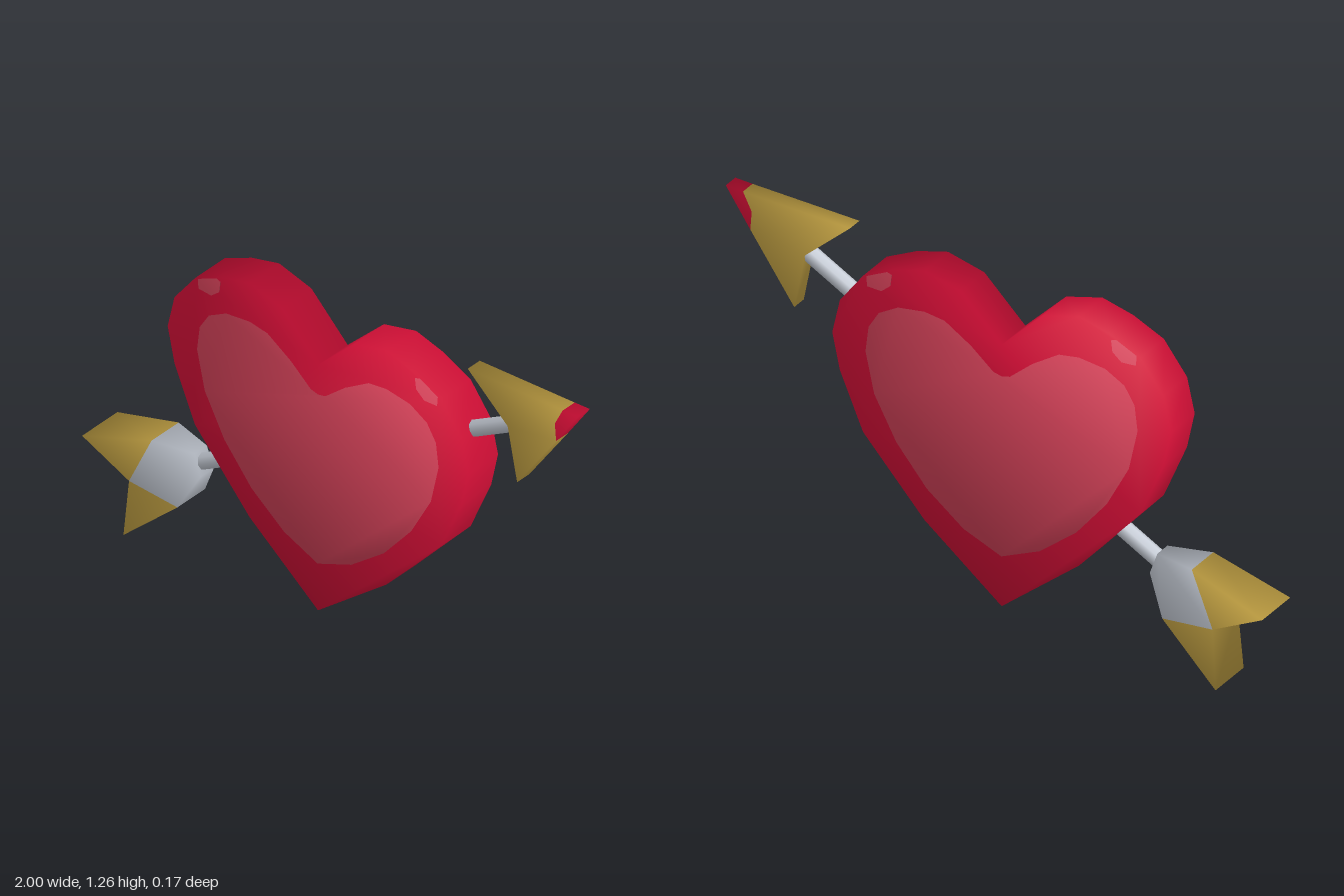
import * as THREE from 'three';

const mat = (name, color) => Object.assign(new THREE.MeshStandardMaterial({ color }), { name });

// Flat outline extruded between two depths, with soft pillow-like normals around a centre.
// halfDepth(x, y) gives the half thickness; z shifts the whole plate.
function plate(name, material, pts, halfDepth, centre, softness, z = 0) {
  const shape = new THREE.Shape(pts.map(([x, y]) => new THREE.Vector2(x, y)));
  const geo = new THREE.ExtrudeGeometry(shape, { depth: 2, bevelEnabled: false });
  const pos = geo.attributes.position, nor = geo.attributes.normal;
  const n = new THREE.Vector3();
  for (let i = 0; i < pos.count; i++) {
    const x = pos.getX(i), y = pos.getY(i);
    const side = pos.getZ(i) > 1 ? 1 : -1;
    pos.setZ(i, z + side * halfDepth(x, y));
    n.set((x - centre[0]) * softness, (y - centre[1]) * softness, z ? Math.sign(z) : side).normalize();
    nor.setXYZ(i, n.x, n.y, n.z);
  }
  const mesh = new THREE.Mesh(geo, material);
  mesh.name = name;
  return mesh;
}

export function createModel() {
  const red = mat('heart red', 0xe0103a);
  const pink = mat('soft pink', 0xe0465e);
  const gold = mat('gold', 0xd4b04a);
  const silver = mat('silver', 0xc8ced8);
  const model = new THREE.Group();
  model.name = 'heartWithArrow';

  // Heart: right half mirrored about its centre line
  const cx = -0.037, half = 0.0715, mid = [cx, 0.72];
  const mirror = (h) => [
    ...h.map(([x, y]) => [cx + x, y]),
    ...h.slice(1, -1).reverse().map(([x, y]) => [cx - x, y]),
  ];
  const outline = mirror([
    [0, 1.007], [0.15, 1.155], [0.283, 1.19], [0.396, 1.16], [0.508, 1.107], [0.593, 0.995],
    [0.621, 0.872], [0.593, 0.743], [0.508, 0.545], [0.283, 0.294], [0, 0.066],
  ]);
  const inner = mirror([
    [0, 0.893], [0.03, 0.9], [0.112, 0.97], [0.209, 1.032], [0.283, 1.043], [0.38, 1.03], [0.45, 0.99],
    [0.487, 0.93], [0.498, 0.84], [0.466, 0.695], [0.385, 0.545], [0.273, 0.41], [0.139, 0.305], [0, 0.246],
  ]);
  model.add(plate('heart', red, outline, () => half, mid, 1.5));

  // Pale centre and glints on both faces
  const glint = [[0.402, 1.14], [0.42, 1.146], [0.495, 1.11], [0.492, 1.075], [0.44, 1.072], [0.407, 1.1]];
  for (const s of [1, -1]) {
    const thin = () => 0.002, z = s * half;
    model.add(plate('heartCentre', pink, inner, thin, mid, 1.5, z));
    for (const m of [1, -1]) {
      model.add(plate('glint', pink, glint.map(([x, y]) => [cx + m * x, y]), thin, mid, 1.5, z));
    }
  }

  // Shaft running through the heart
  const a = new THREE.Vector3(-0.6, 0.34, 0), b = new THREE.Vector3(0.74, 1.103, 0);
  const shaft = new THREE.Mesh(new THREE.CylinderGeometry(0.029, 0.029, a.distanceTo(b), 8), silver);
  shaft.name = 'shaft';
  shaft.position.copy(a).lerp(b, 0.5);
  shaft.quaternion.setFromUnitVectors(new THREE.Vector3(0, 1, 0), b.clone().sub(a).normalize());
  model.add(shaft);

  // Arrowhead with a red point
  const headMid = [0.77, 1.13], headDepth = () => 0.029;
  const cut = [[0.937, 1.254], [0.905, 1.19], [0.91, 1.125]];
  model.add(plate('arrowhead', gold,
    [[0.545, 1.235], [0.71, 1.09], [0.749, 0.893], ...[...cut].reverse()], headDepth, headMid, 2));
  model.add(plate('arrowPoint', red, [...cut, [1, 1.258]], headDepth, headMid, 2));

  // Tail: thickens along the arrow axis from the neck to the feather tips
  const tailDepth = (x, y) => {
    const t = (-0.57 - x) * 0.866 + (0.355 - y) * 0.5;
    return t < 0.12 ? 0.03 + 0.3 * Math.max(t, 0) : 0.066 + (t - 0.12) * 0.068;
  };
  const tailMid = [-0.74, 0.26];
  const upper = [-0.73, 0.396], notch = [-0.813, 0.21], lower = [-0.622, 0.19];
  model.add(plate('tailBase', silver,
    [[-0.583, 0.394], upper, notch, lower, [-0.556, 0.318]], tailDepth, tailMid, 3));
  model.add(plate('upperFeather', gold, [upper, [-1, 0.302], notch], tailDepth, tailMid, 3));
  model.add(plate('lowerFeather', gold, [notch, [-0.829, 0], lower], tailDepth, tailMid, 3));

  return model;
}
